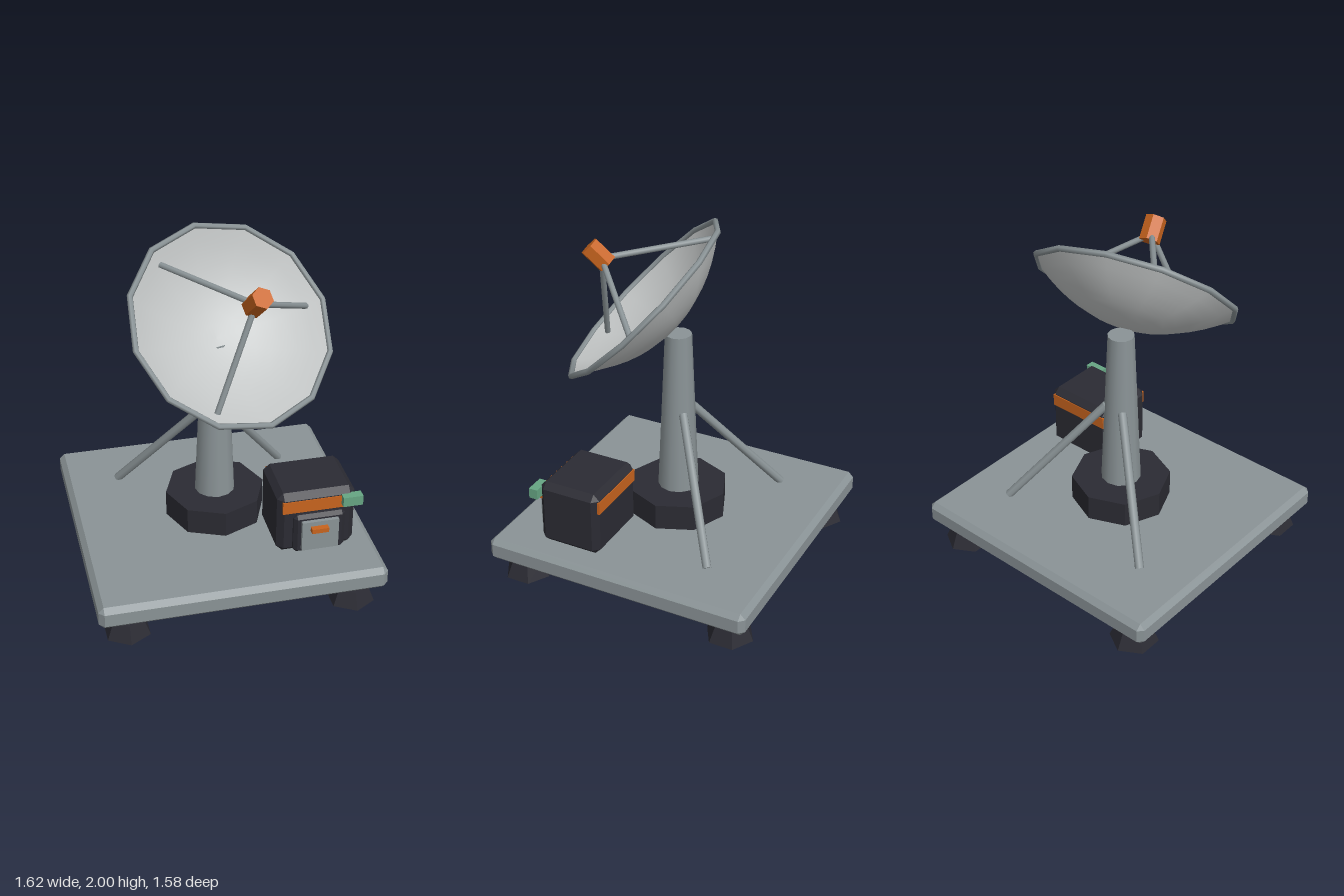
import * as THREE from 'three';
import { ConvexGeometry } from 'three/addons/geometries/ConvexGeometry.js';

const mat = (name, color, opts = {}) => {
  const m = new THREE.MeshStandardMaterial({ color, ...opts });
  m.name = name;
  return m;
};

export function createModel() {
  const model = new THREE.Group();
  model.name = 'dishStation';
  const grey = mat('steelGrey', 0x8a9396);
  const greyFlat = grey.clone();
  greyFlat.flatShading = true;
  const dark = mat('charcoal', 0x2b2b33, { flatShading: true });
  const orange = mat('orange', 0xc8641e, { flatShading: true });
  const green = mat('green', 0x66a583);
  const light = mat('dishGrey', 0xc4c7c7, { side: THREE.DoubleSide });

  const add = (name, geo, material, parent = model) => {
    const m = new THREE.Mesh(geo, material);
    m.name = name;
    parent.add(m);
    return m;
  };

  // box given by its limits
  const box = (name, material, x0, x1, y0, y1, z0, z1) => {
    const m = add(name, new THREE.BoxGeometry(x1 - x0, y1 - y0, z1 - z0), material);
    m.position.set((x0 + x1) / 2, (y0 + y1) / 2, (z0 + z1) / 2);
    return m;
  };

  // box with chamfered edges and corners
  const chamferBox = (name, material, x0, x1, y0, y1, z0, z1, c) => {
    const h = [(x1 - x0) / 2, (y1 - y0) / 2, (z1 - z0) / 2];
    const pts = [];
    for (const sx of [-1, 1]) for (const sy of [-1, 1]) for (const sz of [-1, 1])
      for (let a = 0; a < 3; a++) {
        const d = h.map((v, i) => (i === a ? v : v - c));
        pts.push(new THREE.Vector3(sx * d[0], sy * d[1], sz * d[2]));
      }
    const m = add(name, new ConvexGeometry(pts), material);
    m.position.set((x0 + x1) / 2, (y0 + y1) / 2, (z0 + z1) / 2);
    return m;
  };

  // round bar between two points
  const bar = (name, a, b, r, material, parent = model) => {
    const dir = b.clone().sub(a);
    const m = add(name, new THREE.CylinderGeometry(r, r, dir.length(), 8), material, parent);
    m.position.copy(a).add(b).multiplyScalar(0.5);
    m.quaternion.setFromUnitVectors(new THREE.Vector3(0, 1, 0), dir.normalize());
    return m;
  };

  // base slab on four feet
  chamferBox('baseSlab', greyFlat, -0.81, 0.81, 0.135, 0.272, -0.79, 0.79, 0.03);
  for (const x of [-0.64, 0.64]) for (const z of [-0.64, 0.64]) {
    add('foot', new THREE.CylinderGeometry(0.097, 0.137, 0.095, 6), dark).position.set(x, 0.0475, z);
    add('footStem', new THREE.CylinderGeometry(0.04, 0.04, 0.06, 8), grey).position.set(x, 0.115, z);
  }

  // pedestal, column and rear braces
  add('pedestal', new THREE.CylinderGeometry(0.287, 0.287, 0.155, 8), dark).position.y = 0.3475;
  add('column', new THREE.CylinderGeometry(0.075, 0.118, 1.0, 12), grey).position.y = 0.882;
  for (const s of [-1, 1])
    bar('rearBrace', new THREE.Vector3(s * 0.5, 0.275, -0.43), new THREE.Vector3(s * 0.06, 0.92, -0.06), 0.025, grey);

  // dish: local +z is the pointing axis, origin at the rim centre
  const dish = new THREE.Group();
  dish.name = 'dishAssembly';
  dish.position.set(0.054, 1.575, 0.185);
  dish.rotation.set(-0.77, 0.305, 0, 'YXZ');
  model.add(dish);

  const R = 0.575, depth = 0.228;
  const profile = [];
  for (let i = 0; i <= 8; i++) {
    const r = (R * i) / 8;
    profile.push(new THREE.Vector2(r, -depth * (1 - (r / R) ** 2)));
  }
  add('dishBowl', new THREE.LatheGeometry(profile, 12), light, dish).rotation.x = Math.PI / 2;
  add('dishRim', new THREE.TorusGeometry(R, 0.017, 6, 12), grey, dish);

  // feed horn on three struts
  const feed = add('feedHorn', new THREE.CylinderGeometry(0.06, 0.06, 0.14, 6), orange, dish);
  feed.rotation.x = Math.PI / 2;
  feed.position.z = 0.34;
  for (let i = 0; i < 3; i++) {
    const a = (i * Math.PI * 2) / 3;
    const at = (r, z) => new THREE.Vector3(r * Math.cos(a), r * Math.sin(a), z);
    bar('feedStrut', at(0.49, -0.05), at(0.02, 0.3), 0.017, grey, dish);
  }

  // equipment cabinet
  chamferBox('cabinet', dark, 0.24, 0.685, 0.272, 0.655, 0.148, 0.517, 0.035);
  box('cabinetBand', orange, 0.265, 0.66, 0.54, 0.615, 0.143, 0.522);
  chamferBox('cabinetDoor', dark, 0.325, 0.62, 0.285, 0.53, 0.49, 0.55, 0.02);
  box('doorPanel', grey, 0.365, 0.575, 0.315, 0.5, 0.54, 0.572);
  box('doorHandle', orange, 0.412, 0.508, 0.445, 0.472, 0.565, 0.605);
  box('indicatorLamp', green, 0.6, 0.713, 0.563, 0.622, 0.505, 0.557);

  return model;
}
